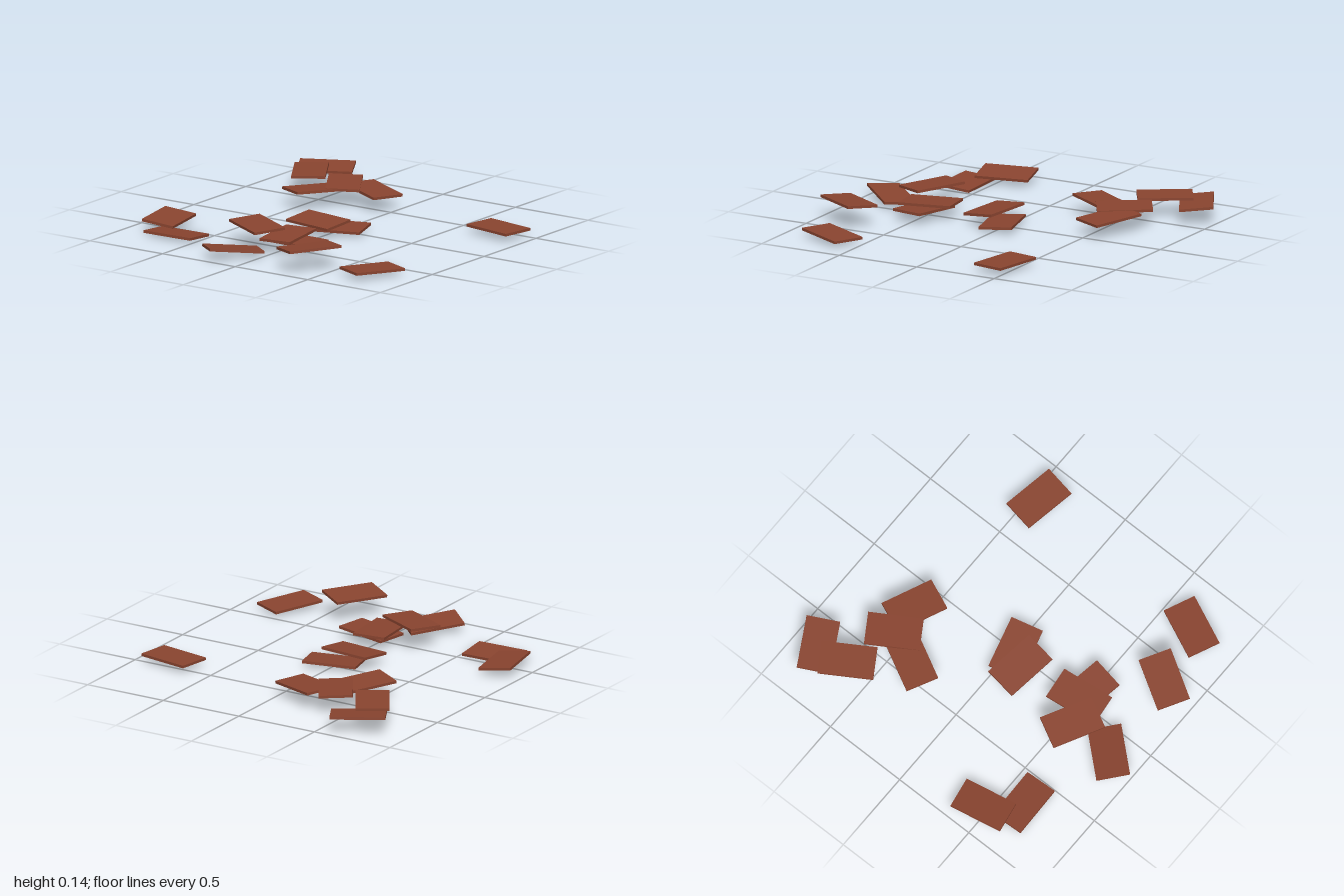
import * as THREE from 'three';

// Scattered roof tiles: [x, y, z, yaw in degrees, slope along x, slope along z]
const TILES = [
  // back left
  [-0.47, 0.05, -0.835, 11, -0.02, -0.12],
  [-0.63, 0.016, -0.67, -88.5, -0.08, 0],
  // back right pile
  [0.65, 0.113, -0.665, 32, 0, 0],
  [0.84, 0.093, -0.69, -61, 0.07, -0.055],
  [0.375, 0.1, -0.435, -28, -0.06, 0.03],
  [0.56, 0.105, -0.365, 32, 0, -0.04],
  [0.57, 0.092, -0.17, 67, 0, -0.06],
  // left pile
  [-0.815, 0.045, -0.145, -41.5, -0.13, 0],
  [-0.565, 0.13, -0.16, 62.6, 0.05, 0],
  [-0.485, 0.078, -0.005, 7, 0.03, 0],
  [-0.49, 0.055, 0.06, 80, 0, 0.05],
  // middle pair
  [-0.015, 0.027, 0.01, -75, 0.06, 0],
  [-0.11, 0.072, -0.065, 83, 0.1, 0],
  // front
  [-0.8, 0.126, 0.365, -31, -0.03, 0.08],
  [-0.7, 0.036, 0.73, -24.4, -0.04, 0],
  [0.445, 0.043, 0.78, 80, 0, 0],
];

export function createModel() {
  const model = new THREE.Group();
  model.name = 'scatteredTiles';
  const clay = new THREE.MeshStandardMaterial({ color: 0x8b4530 });
  clay.name = 'brown clay';
  const slab = new THREE.BoxGeometry(0.314, 0.015, 0.192);
  const up = new THREE.Vector3(0, 1, 0);

  TILES.forEach(([x, y, z, yaw, slopeX, slopeZ], i) => {
    const tile = new THREE.Mesh(slab, clay);
    tile.name = `tile${i + 1}`;
    tile.position.set(x, y, z);
    // turn about the vertical, then lean to the slope
    const normal = new THREE.Vector3(-slopeX, 1, -slopeZ).normalize();
    const turn = new THREE.Quaternion().setFromAxisAngle(up, THREE.MathUtils.degToRad(yaw));
    tile.quaternion.setFromUnitVectors(up, normal).multiply(turn);
    model.add(tile);
  });
  return model;
}
